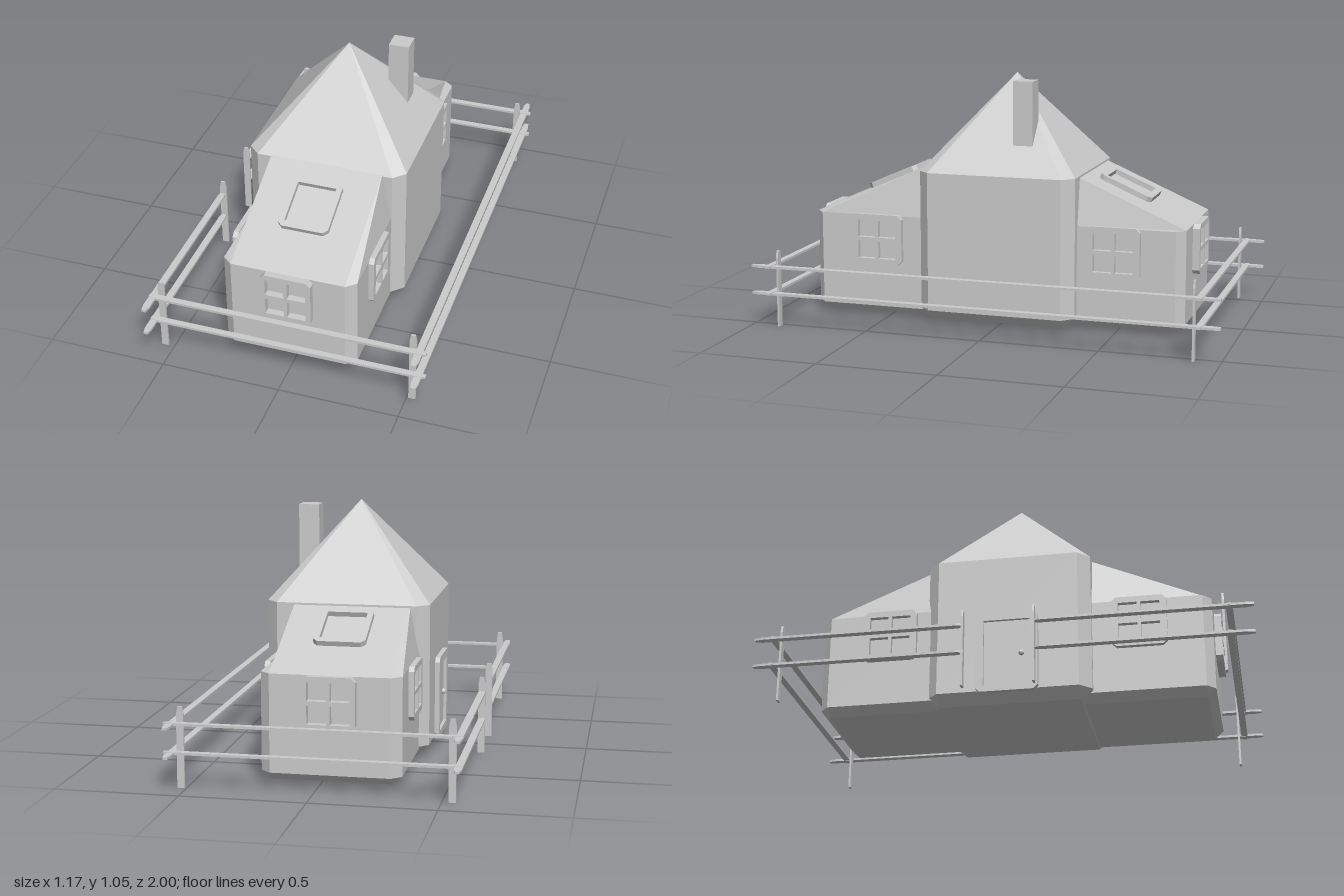
import * as THREE from 'three';

const grey = new THREE.MeshStandardMaterial({ color: 0xcccccc, flatShading: true });

function mesh(name, geometry, parent) {
  const m = new THREE.Mesh(geometry, grey);
  m.name = name;
  parent.add(m);
  return m;
}

// Skin between rings of [x, y, z] points, plus flat caps given as point loops.
function loft(rings, closed, caps) {
  const pos = [];
  const fan = (p) => {
    for (let i = 1; i < p.length - 1; i++) pos.push(...p[0], ...p[i], ...p[i + 1]);
  };
  for (let r = 0; r < rings.length - 1; r++) {
    const a = rings[r], b = rings[r + 1], n = a.length;
    for (let i = 0; i < (closed ? n : n - 1); i++) {
      const j = (i + 1) % n;
      fan([a[i], a[j], b[j], b[i]]);
    }
  }
  caps.forEach(fan);
  const g = new THREE.BufferGeometry();
  g.setAttribute('position', new THREE.Float32BufferAttribute(pos, 3));
  g.computeVertexNormals();
  return g;
}

// Rectangle outline with cut corners
function outline(Type, x, y, w, h, c) {
  const p = [[-w + c, -h], [w - c, -h], [w, -h + c], [w, h - c], [w - c, h], [-w + c, h], [-w, h - c], [-w, -h + c]];
  return new Type(p.map(([u, v]) => new THREE.Vector2(x + u, y + v)));
}

// Flat frame standing on z = 0, with rectangular holes [x, y, halfW, halfH]
function frameGeometry(w, h, depth, holes) {
  const s = outline(THREE.Shape, 0, 0, w / 2, h / 2, 0.018);
  holes.forEach(([x, y, a, b]) => s.holes.push(outline(THREE.Path, x, y, a, b, 0.001)));
  return new THREE.ExtrudeGeometry(s, { depth, bevelEnabled: false });
}

const panes = [];
for (const x of [-0.046, 0.046]) for (const y of [-0.046, 0.046]) panes.push([x, y, 0.039, 0.037]);

// Wing pointing to +z: chamfered walls, lean-to roof, windows and skylight
function wing(name) {
  const g = new THREE.Group();
  g.name = name;
  const back = 0.3, hx = 0.28, ix = 0.24, front = 0.825, cz = 0.79, eave = 0.447;
  const walls = (y) => [[-hx, y, back], [-hx, y, cz], [-ix, y, front], [ix, y, front], [hx, y, cz], [hx, y, back]];
  const floor = [[-ix, back], [-ix, cz], [-ix, cz], [ix, cz], [ix, cz], [ix, back]].map(([x, z]) => [x, 0.018, z]);
  const roof = [[-ix, 0.657, 0.338], [-ix, eave, front], [-ix, eave, front], [ix, eave, front], [ix, eave, front], [ix, 0.657, 0.338]];
  mesh('wingShell', loft([floor, walls(0.05), walls(eave), roof], false, [
    [roof[1], roof[3], roof[5], roof[0]],
    [floor[5], floor[3], floor[1], floor[0]],
  ]), g);

  mesh('endWindow', frameGeometry(0.212, 0.212, 0.03, panes), g).position.set(0, 0.341, front);
  for (const s of [-1, 1]) {
    const w = mesh('sideWindow', frameGeometry(0.225, 0.217, 0.022, panes), g);
    w.position.set(s * hx, 0.345, 0.532);
    w.rotation.y = s * Math.PI / 2;
  }
  const slope = Math.atan2(0.657 - eave, front - 0.338);
  const sky = mesh('skylight', frameGeometry(0.212, 0.24, 0.022, [[0, 0, 0.082, 0.093]]), g);
  sky.position.set(0, eave + (front - 0.53) * Math.tan(slope), 0.53);
  sky.rotation.x = slope - Math.PI / 2;
  return g;
}

// Fence board: flat in z, running up y from 0, narrowing to blunt tips
function boardGeometry(length, width, thick, bothEnds) {
  const w = width / 2, t = w * 0.6, k = 0.03;
  const p = bothEnds
    ? [[-t, 0], [t, 0], [w, k], [w, length - k], [t, length], [-t, length], [-w, length - k], [-w, k]]
    : [[-w, 0], [w, 0], [w, length - k], [t, length], [-t, length], [-w, length - k]];
  const s = new THREE.Shape(p.map(([x, y]) => new THREE.Vector2(x, y)));
  return new THREE.ExtrudeGeometry(s, { depth: thick, bevelEnabled: false }).translate(0, 0, -thick / 2);
}

function fence() {
  const g = new THREE.Group();
  g.name = 'fence';
  // Corner posts and gate posts
  const posts = [[-0.54, 0.88], [-0.54, -0.89], [0.522, 0.88], [0.522, -0.89], [-0.566, 0.142], [-0.566, -0.142]];
  for (const [x, z] of posts) mesh('fencePost', boardGeometry(0.325, 0.029, 0.009, false), g).position.set(x, 0, z);
  for (const y of [0.145, 0.26]) {
    // Side rails [x, z start, z end], with a gap for the gate
    for (const [x, a, b] of [[-0.568, -0.993, -0.137], [-0.568, 0.137, 0.998], [0.552, -1, 0.986]]) {
      const r = mesh('sideRail', boardGeometry(b - a, 0.029, 0.01, true).rotateX(Math.PI / 2), g);
      r.position.set(x, y, a);
    }
    // Front and back rails
    for (const z of [0.904, -0.917]) {
      const r = mesh('endRail', boardGeometry(1.166, 0.027, 0.01, true).rotateX(Math.PI / 2).rotateY(Math.PI / 2), g);
      r.position.set(-0.584, y + 0.002, z);
    }
  }
  return g;
}

export function createModel() {
  const model = new THREE.Group();
  model.name = 'cottage';

  // Main block: walls with cut corners
  const cx = -0.025, hx = 0.34, hz = 0.338, c = 0.048;
  const ring = (y, inset) => {
    const x = hx - inset, z = hz - inset, k = c - inset;
    return [[-x, -z + k], [-x, z - k], [-x + k, z], [x - k, z], [x, z - k], [x, -z + k], [x - k, -z], [-x + k, -z]]
      .map(([u, v]) => [cx + u, y, v]);
  };
  const base = ring(0.018, c), eaves = ring(0.65, 0);
  mesh('mainWalls', loft([base, ring(0.06, 0), eaves], true, [[...base].reverse()]), model);

  // Pointed roof
  const apex = eaves.map(() => [cx, 1.048, 0]);
  mesh('mainRoof', loft([eaves, apex], true, []), model);

  // Chimney
  mesh('chimney', new THREE.BoxGeometry(0.086, 0.36, 0.085), model).position.set(0.172, 0.856, -0.098);

  // Wings
  const front = wing('frontWing');
  front.position.x = -0.015;
  const rear = wing('backWing');
  rear.rotation.y = Math.PI;
  rear.position.set(-0.047, 0, 0.036);
  model.add(front, rear);

  // Door on the right side
  const door = new THREE.Group();
  door.name = 'door';
  door.position.set(cx - hx, 0.222, 0);
  door.rotation.y = -Math.PI / 2;
  mesh('doorFrame', frameGeometry(0.255, 0.345, 0.02, [[0, -0.005, 0.095, 0.142]]), door);
  mesh('doorPanel', new THREE.BoxGeometry(0.19, 0.284, 0.014), door).position.set(0, -0.005, 0);
  mesh('doorKnob', new THREE.SphereGeometry(0.012, 10, 8), door).position.set(0.06, -0.01, 0.012);
  model.add(door);

  model.add(fence());
  return model;
}
